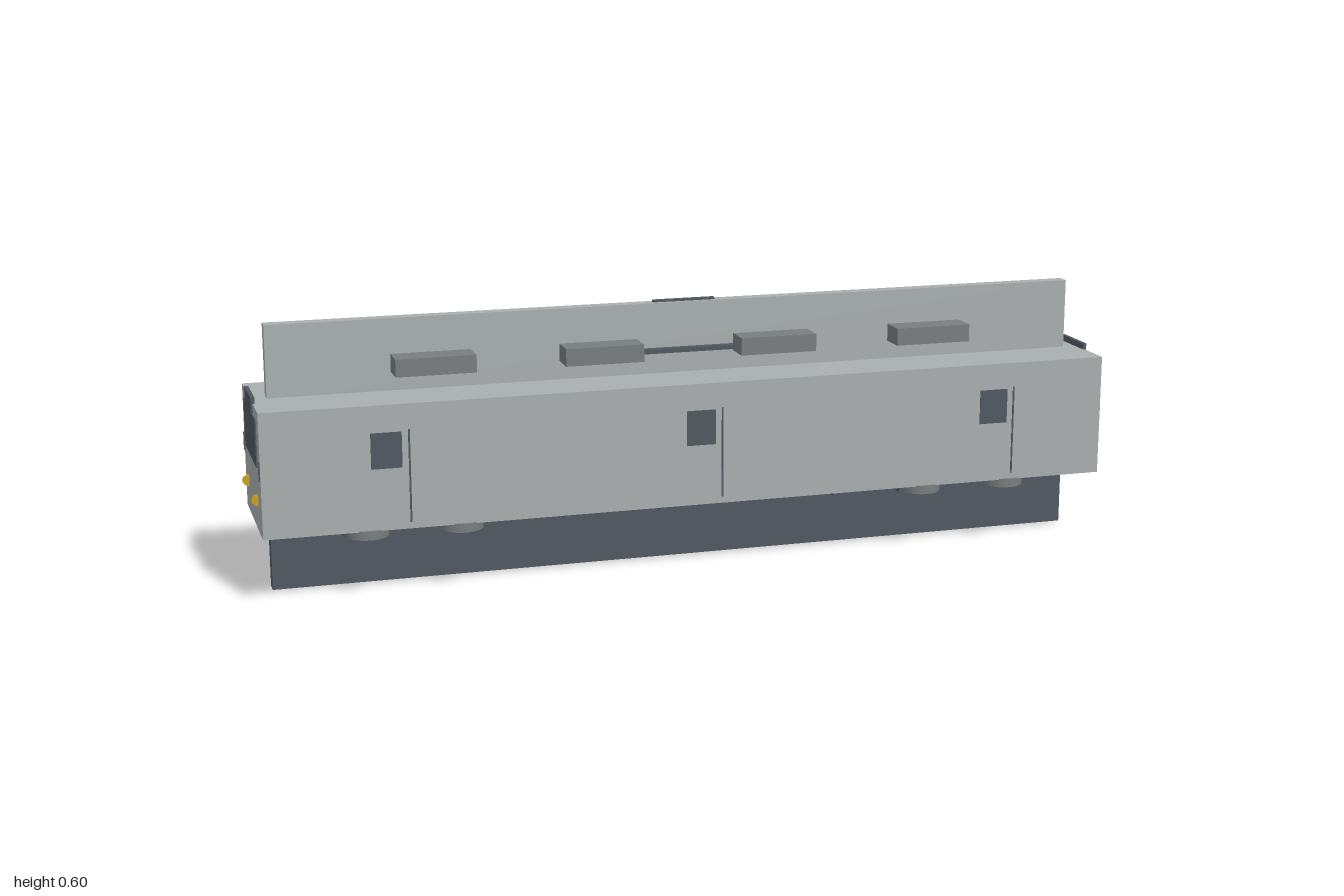
import * as THREE from 'three';

const material = (name, color) => {
  const m = new THREE.MeshStandardMaterial({ color });
  m.name = name;
  return m;
};

export function createModel() {
  const model = new THREE.Group();
  model.name = 'railcar';
  const paleGrey = material('paleGrey', 0xa9aeae);
  const midGrey = material('midGrey', 0x787d7e);
  const slate = material('slate', 0x505860);
  const brass = material('brass', 0xc9a227);

  const add = (name, geometry, mat, x, y, z) => {
    const mesh = new THREE.Mesh(geometry, mat);
    mesh.name = name;
    mesh.position.set(x, y, z);
    model.add(mesh);
    return mesh;
  };
  // Box given by its centre x and z, its width, bottom, top and depth
  const box = (name, mat, x, w, y0, y1, z, d) =>
    add(name, new THREE.BoxGeometry(w, y1 - y0, d), mat, x, (y0 + y1) / 2, z);

  // Main body, roof fin and keel
  box('body', paleGrey, 0, 1.97, 0.155, 0.435, 0, 0.3);
  box('roofFin', paleGrey, 0, 1.9, 0.43, 0.597, 0, 0.03);
  box('keel', slate, 0, 1.91, 0, 0.16, 0, 0.034);

  // Roof equipment
  for (const x of [-0.587, -0.205, 0.205, 0.585]) {
    box('roofUnit', midGrey, x, 0.18, 0.477, 0.517, 0, 0.156);
  }
  box('roofLink', slate, 0, 0.24, 0.484, 0.494, 0, 0.068);
  box('finCap', slate, 0, 0.145, 0.594, 0.602, 0, 0.011);

  // Underfloor equipment boxes
  for (const x of [-0.425, -0.23, -0.003, 0.217, 0.42]) {
    box('underfloorBox', slate, x, 0.143, 0.123, 0.16, 0, 0.126);
  }

  // Bogies with flat-lying wheels
  for (const s of [-1, 1]) {
    box('bogieFrame', slate, s * 0.65, 0.31, 0.133, 0.16, 0, 0.216);
    for (const x of [0.545, 0.755]) {
      for (const z of [-0.109, 0.109]) {
        add('wheel', new THREE.CylinderGeometry(0.048, 0.048, 0.02, 24), midGrey, s * x, 0.147, z);
      }
    }
  }

  // Side windows and door seams
  for (const side of [-1, 1]) {
    for (const x of [-0.714, -0.003, 0.71]) {
      box('sideWindow', slate, x, 0.068, 0.294, 0.374, side * 0.15, 0.004);
      box('doorSeam', slate, x + 0.05, 0.004, 0.17, 0.378, side * 0.15, 0.003);
    }
  }

  // Cab ends
  for (const s of [-1, 1]) {
    box('windscreen', slate, s * 0.985, 0.006, 0.305, 0.412, 0, 0.214);
    box('destinationBox', slate, s * 0.985, 0.009, 0.414, 0.449, 0, 0.116);
    for (const side of [-1, 1]) {
      box('handrail', slate, s * 0.985, 0.006, 0.284, 0.326, side * 0.142, 0.005);
      add('lamp', new THREE.CylinderGeometry(0.012, 0.012, 0.008, 20), brass,
        s * 0.988, 0.228, side * 0.0855).rotation.x = Math.PI / 2;
    }
  }
  return model;
}
